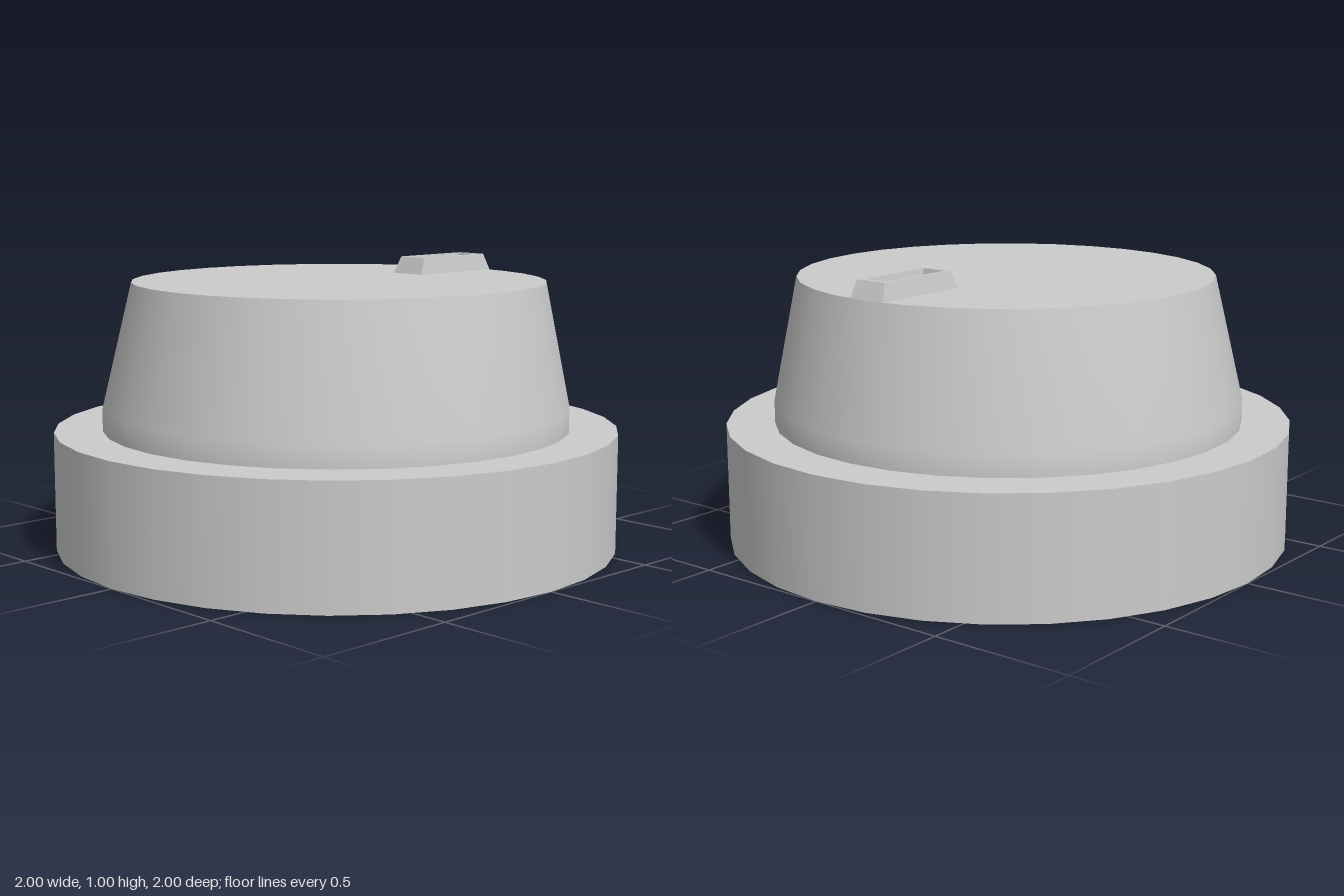
import * as THREE from 'three';

const SIDES = 32;
const TOP_Y = 0.94;

function addMesh(group, name, geometry, material) {
  const mesh = new THREE.Mesh(geometry, material);
  mesh.name = name;
  group.add(mesh);
  return mesh;
}

// Stacked rectangular loops [x0, x1, z0, z1, y] joined by flat quads, with the last loop filled
function rectLoft(loops) {
  const rings = loops.map(([x0, x1, z0, z1, y]) => [
    [x0, y, z1], [x1, y, z1], [x1, y, z0], [x0, y, z0],
  ]);
  const positions = [];
  const quad = (a, b, c, d) => positions.push(...a, ...b, ...c, ...a, ...c, ...d);
  for (let i = 0; i < rings.length - 1; i++) {
    for (let k = 0; k < 4; k++) {
      const n = (k + 1) % 4;
      quad(rings[i][k], rings[i][n], rings[i + 1][n], rings[i + 1][k]);
    }
  }
  quad(...rings[rings.length - 1]);
  const geometry = new THREE.BufferGeometry();
  geometry.setAttribute('position', new THREE.Float32BufferAttribute(positions, 3));
  geometry.computeVertexNormals();
  return geometry;
}

export function createModel() {
  const model = new THREE.Group();
  model.name = 'rotaryKnob';
  const grey = new THREE.MeshStandardMaterial({ color: 0xcccccc });

  // Wide base disc
  const base = addMesh(model, 'base', new THREE.CylinderGeometry(1, 1, 0.42, SIDES), grey);
  base.position.y = 0.21;

  // Tapered grip: short straight foot, then a cone whose top leans slightly to +x
  const lean = 0.0125;
  const profile = [[0.83, 0.42], [0.83, 0.5], [0.733, TOP_Y]].map(([r, y]) => new THREE.Vector2(r, y));
  const grip = new THREE.LatheGeometry(profile, SIDES);
  const pos = grip.attributes.position;
  for (let i = 0; i < pos.count; i++) {
    const t = Math.max(0, (pos.getY(i) - 0.5) / (TOP_Y - 0.5));
    pos.setX(i, pos.getX(i) + lean * t);
  }
  addMesh(model, 'grip', grip, grey);

  // Flat top of the grip
  const cap = new THREE.CircleGeometry(0.733, SIDES).rotateX(-Math.PI / 2).translate(lean, TOP_Y, 0);
  addMesh(model, 'gripTop', cap, grey);

  // Pointer: bevelled bar with a thin rim around a shallow recess
  addMesh(model, 'pointer', rectLoft([
    [0.37, 0.745, -0.077, 0.063, TOP_Y],
    [0.395, 0.72, -0.065, 0.053, 1.0],
    [0.412, 0.7, -0.053, 0.038, 1.0],
    [0.416, 0.696, -0.049, 0.034, 0.97],
  ]), grey);

  return model;
}
